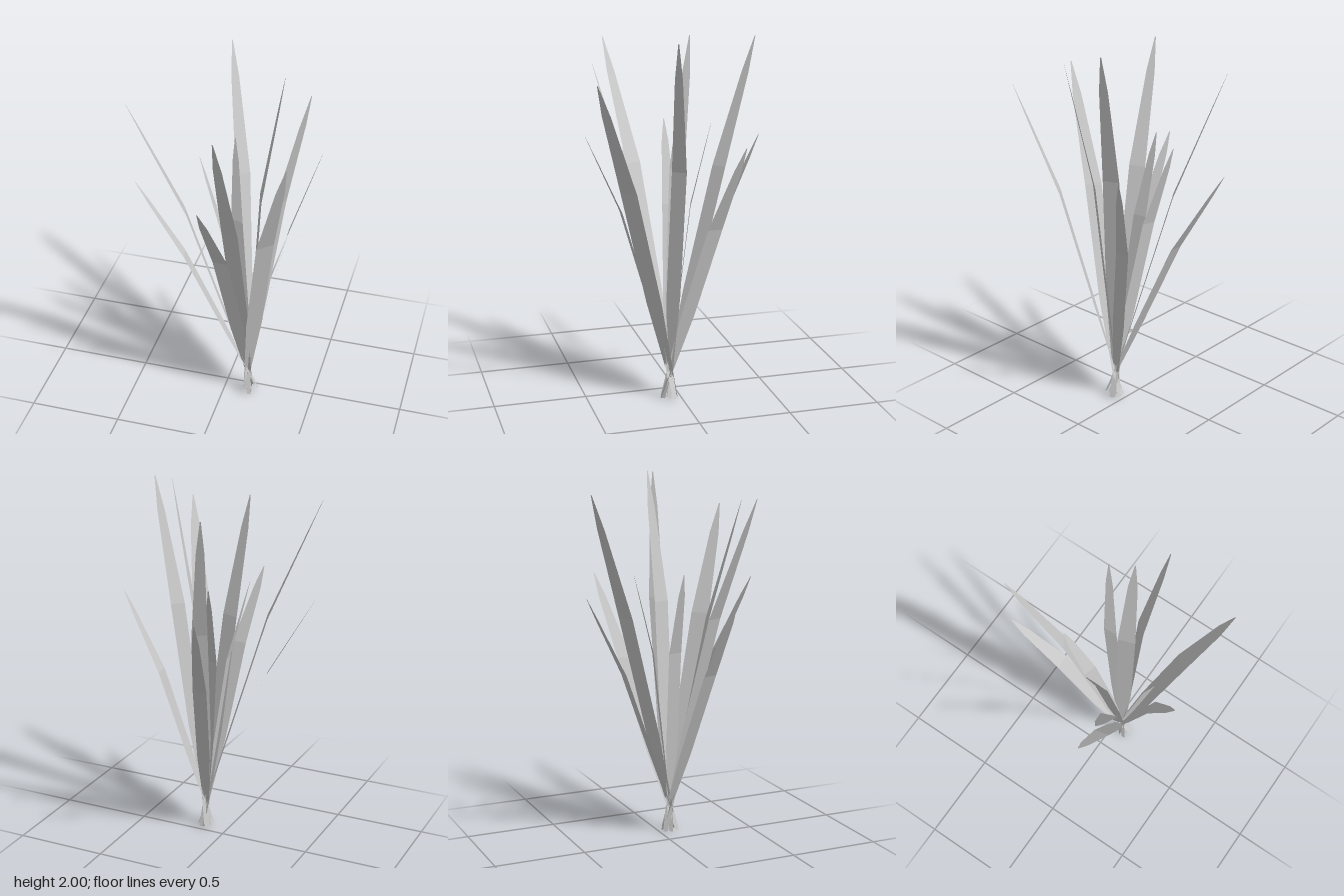
import * as THREE from 'three';

// Point where all blades are gathered, just above the ground
const PIVOT = new THREE.Vector3(0.132, 0.15, 0.06);

// Each blade: centre of its fold, tip, and width vector (x, z) at the fold
const BLADES = [
  { fold: [0.01, 0.95, -0.26], tip: [-0.08, 1.39, -0.5], width: [0.08, 0] },
  { fold: [0.015, 1.25, -0.245], tip: [-0.11, 1.92, -0.48], width: [0.068, -0.05] },
  { fold: [0.295, 0.98, -0.14], tip: [0.445, 1.44, -0.255], width: [0.005, 0.08] },
  { fold: [0.185, 1.3, 0.035], tip: [0.29, 2.0, 0], width: [0.03, 0.09] },
  { fold: [0.293, 1.3, 0.053], tip: [0.445, 1.98, 0.1], width: [0.05, -0.065] },
  { fold: [0.28, 1.2, 0.315], tip: [0.42, 1.79, 0.5], width: [0.075, -0.07] },
  { fold: [0.08, 1.2, 0.262], tip: [0.045, 1.84, 0.445], width: [0.095, 0.03] },
  { fold: [0.04, 1.04, 0.3], tip: [-0.03, 1.44, 0.47], width: [0.08, 0] },
  { fold: [-0.18, 1.25, 0.178], tip: [-0.445, 1.9, 0.28], width: [0.035, 0.085] },
  { fold: [-0.2, 0.95, 0.145], tip: [-0.45, 1.38, 0.175], width: [0.02, 0.08] },
  { fold: [-0.025, 1.05, 0.022], tip: [-0.15, 1.49, 0.015], width: [0.01, 0.075] },
  { fold: [0.025, 1.05, -0.085], tip: [-0.02, 1.49, -0.213], width: [0.07, 0.02] },
];

// Flat strip through five cross-sections: base, belly, fold, shoulder, tip
function bladeGeometry({ fold, tip, width }) {
  const f = new THREE.Vector3(...fold);
  const t = new THREE.Vector3(...tip);
  const w = new THREE.Vector3(width[0], 0, width[1]);
  const lean = f.clone().sub(PIVOT).normalize();
  const rows = [
    [PIVOT.clone().addScaledVector(lean, -0.15), 0.25],
    [PIVOT.clone().lerp(f, 0.4), 0.95],
    [f, 1],
    [f.clone().lerp(t, 0.73), 0.52],
    [t, 0.06],
  ];
  const positions = [];
  const index = [];
  rows.forEach(([centre, scale], i) => {
    for (const side of [-0.5, 0.5]) {
      positions.push(...centre.clone().addScaledVector(w, side * scale).toArray());
    }
    if (i > 0) {
      const a = 2 * (i - 1);
      index.push(a, a + 1, a + 3, a, a + 3, a + 2);
    }
  });
  const indexed = new THREE.BufferGeometry();
  indexed.setAttribute('position', new THREE.Float32BufferAttribute(positions, 3));
  indexed.setIndex(index);
  const geometry = indexed.toNonIndexed();
  geometry.computeVertexNormals();
  return geometry;
}

export function createModel() {
  const model = new THREE.Group();
  model.name = 'grassTuft';
  const material = new THREE.MeshStandardMaterial({
    color: 0xcccccc,
    flatShading: true,
    side: THREE.DoubleSide,
  });
  BLADES.forEach((blade, i) => {
    const mesh = new THREE.Mesh(bladeGeometry(blade), material);
    mesh.name = `blade${i + 1}`;
    model.add(mesh);
  });
  return model;
}
